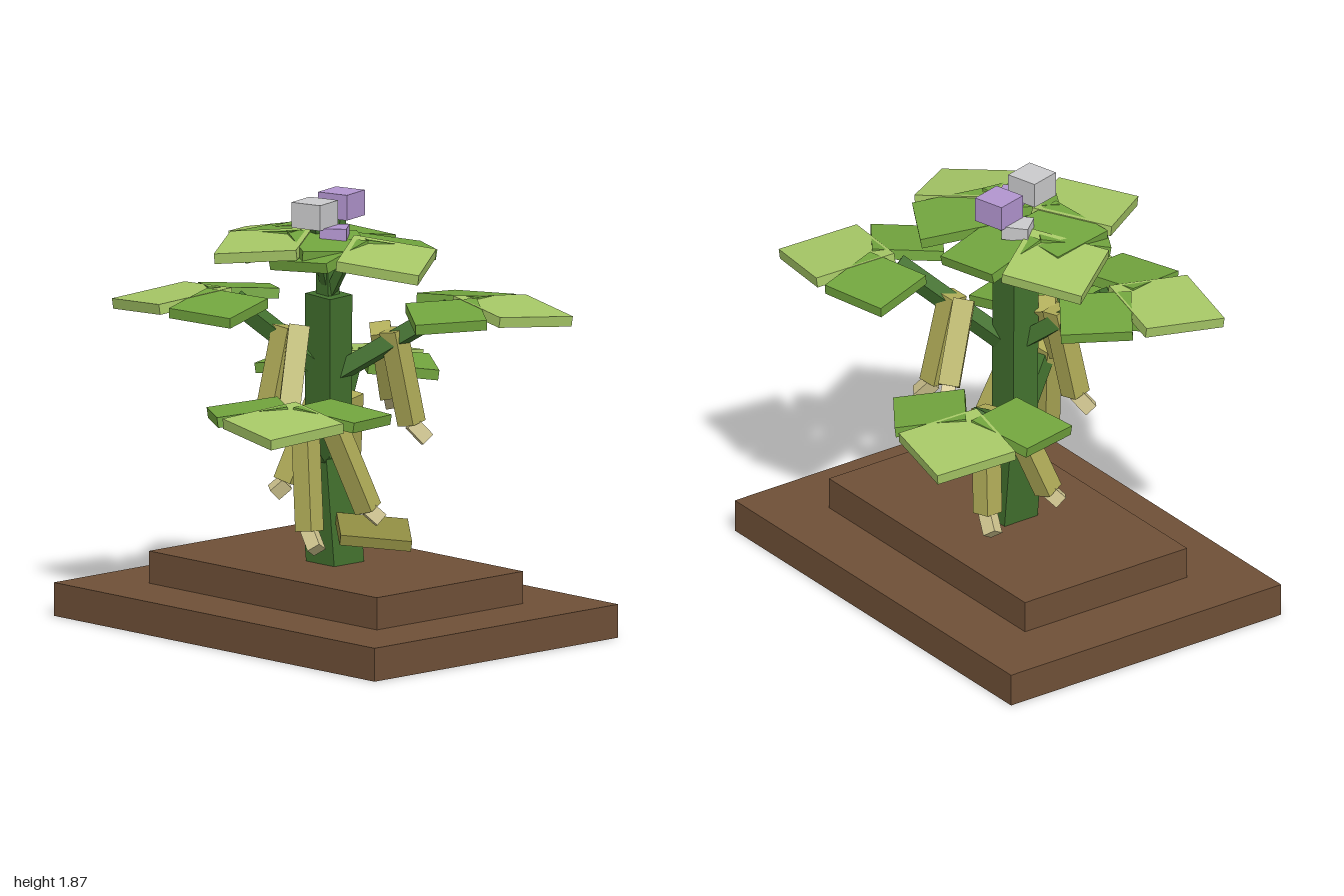
import * as THREE from 'three';

const mat = (name, color) => {
  const m = new THREE.MeshStandardMaterial({ color });
  m.name = name;
  return m;
};
const V = (p) => new THREE.Vector3(...p);

export function createModel() {
  const soil = mat('soil brown', 0x6f5037);
  const stemGreen = mat('stem green', 0x42702e);
  const leafGreen = mat('leaf green', 0x72a53e);
  const paleGreen = mat('pale leaf green', 0xa6c766);
  const podOlive = mat('pod olive', 0xb0ac58);
  const dryOlive = mat('dry leaf olive', 0x8f8c42);
  const tipCream = mat('pod tip cream', 0xcfc48e);
  const petalGrey = mat('petal grey', 0xcacacc);
  const petalLilac = mat('petal lilac', 0xb295cf);

  const model = new THREE.Group();
  model.name = 'beanPlant';

  const box = (name, material, size, pos, parent = model) => {
    const mesh = new THREE.Mesh(new THREE.BoxGeometry(...size), material);
    mesh.name = name;
    mesh.position.set(...pos);
    parent.add(mesh);
    return mesh;
  };

  // Square bar running from one point to another, turned about its own axis
  const beam = (name, material, from, to, w, d = w, twist = 0, parent = model) => {
    const a = V(from), b = V(to);
    const dir = b.clone().sub(a);
    const mesh = box(name, material, [w, dir.length(), d], a.add(b).multiplyScalar(0.5).toArray(), parent);
    mesh.quaternion.setFromUnitVectors(new THREE.Vector3(0, 1, 0), dir.normalize());
    mesh.rotateY(twist);
    return mesh;
  };

  // Stepped soil bed
  box('lowerSoil', soil, [2, 0.145, 1.425], [0, 0.0725, -0.033]);
  box('upperSoil', soil, [1.42, 0.14, 0.855], [0, 0.215, -0.033]);

  // Main stem, leaning slightly one way and back
  beam('lowerStem', stemGreen, [0, 0.26, -0.03], [-0.04, 0.74, -0.02], 0.175);
  beam('middleStem', stemGreen, [-0.045, 0.7, -0.03], [-0.01, 1.45, 0], 0.155, 0.13);
  beam('upperStem', stemGreen, [-0.015, 1.4, 0], [-0.02, 1.68, 0], 0.075, 0.065);

  // Three leaflets: a pale diamond at the end and two darker ones behind it
  const trefoil = ({ at, dir, root, thick, droop = 0.13, spread = 0.205, back = 0.245, size = 0.372 }) => {
    const g = new THREE.Group();
    g.name = 'leafCluster';
    g.position.set(...at);
    g.rotation.y = Math.atan2(dir[0], dir[1]);
    const end = new THREE.Group();
    end.name = 'endLeaflet';
    end.rotation.x = droop;
    g.add(end);
    box('endLeafBlade', paleGreen, [size, 0.045, size], [0, 0, 0], end).rotation.y = Math.PI / 4;
    for (const s of [-1, 1]) {
      const side = new THREE.Group();
      side.name = 'sideLeaflet';
      side.position.set(s * spread, 0.005, -back);
      side.rotation.z = -s * droop;
      g.add(side);
      box('sideLeafBlade', leafGreen, [0.307, 0.045, 0.307], [0, 0, 0], side).rotation.y =
        Math.PI / 4 + s * 0.436;
    }
    model.add(g);
    const tip = [at[0] - dir[0] * 0.27, at[1] + 0.005, at[2] - dir[1] * 0.27];
    beam('leafStalk', stemGreen, root, tip, thick, thick, 0.3);
  };

  // Low pair, middle pair and the three at the crown
  const low = { thick: 0.07, root: [-0.04, 0.72, -0.01] };
  const mid = { thick: 0.07, root: [-0.01, 1.09, -0.02] };
  const crown = { thick: 0.04, root: [-0.01, 1.44, 0], droop: 0.19, spread: 0.19, back: 0.23, size: 0.36 };
  [
    { ...low, at: [-0.53, 1.03, -0.687], dir: [-0.576, -0.817] },
    { ...low, at: [0.433, 1.03, 0.682], dir: [0.576, 0.817] },
    { ...mid, at: [0.62, 1.4, -0.483], dir: [0.82, -0.57] },
    { ...mid, at: [-0.583, 1.4, 0.377], dir: [-0.82, 0.57] },
    { ...crown, at: [-0.41, 1.66, -0.083], dir: [-0.985, -0.17] },
    { ...crown, at: [0.395, 1.66, 0.045], dir: [0.985, 0.17] },
    { ...crown, at: [-0.085, 1.69, 0.31], dir: [-0.17, 0.985], droop: 0.12, spread: 0.175, back: 0.22 },
  ].forEach(trefoil);

  // Hanging pods, each with a small pale tip; every pod has a twin turned half round
  const pod = (top, bottom, tip) => {
    const g = new THREE.Group();
    g.name = 'pod';
    beam('podBody', podOlive, top, bottom, 0.09, 0.085, 0.35, g);
    const dir = V(tip).sub(V(bottom)).normalize().multiplyScalar(0.035);
    const end = V(tip).add(dir).toArray();
    beam('podTip', tipCream, bottom, end, 0.06, 0.06, 0.5, g);
    model.add(g);
  };
  const podPair = (cx, cz, ...points) => {
    pod(...points);
    pod(...points.map(([x, y, z]) => [2 * cx - x, y, 2 * cz - z]));
  };
  podPair(-0.03, -0.01, [0.13, 0.95, 0.27], [0.2, 0.49, 0.31], [0.245, 0.445, 0.325]);
  podPair(-0.03, -0.01, [0.24, 0.95, 0.21], [0.31, 0.57, 0.07], [0.33, 0.545, 0.05]);
  podPair(0.015, -0.04, [0.2, 1.3, -0.18], [0.24, 0.89, -0.25], [0.27, 0.845, -0.28]);
  podPair(0.015, -0.04, [0.13, 1.3, -0.17], [0.02, 0.98, -0.33], [-0.01, 0.945, -0.365]);

  // Drooping dry leaf near the soil
  const dry = new THREE.Group();
  dry.name = 'dryLeaf';
  dry.position.set(0.27, 0.455, 0);
  dry.rotation.z = -0.17;
  model.add(dry);
  box('dryLeafBlade', dryOlive, [0.307, 0.045, 0.307], [0, 0, 0], dry).rotation.y = Math.PI / 4 + 0.1;

  // Two blossoms, each a cube over a smaller petal of the other colour
  const blossom = (name, main, small, pos, smallPos) => {
    const g = new THREE.Group();
    g.name = name;
    box('bloom', main, [0.145, 0.11, 0.145], pos, g).rotation.y = 0.26;
    box('lowerPetal', small, [0.115, 0.06, 0.115], smallPos, g).rotation.y = 0.7;
    beam('flowerStalk', stemGreen, [-0.015, 1.45, 0], [pos[0], 1.77, pos[2]], 0.035, 0.035, 0, g);
    model.add(g);
  };
  blossom('greyBlossom', petalGrey, petalLilac, [0.015, 1.815, 0.105], [0.09, 1.735, 0.06]);
  blossom('lilacBlossom', petalLilac, petalGrey, [-0.075, 1.815, -0.135], [-0.15, 1.735, -0.09]);

  return model;
}
